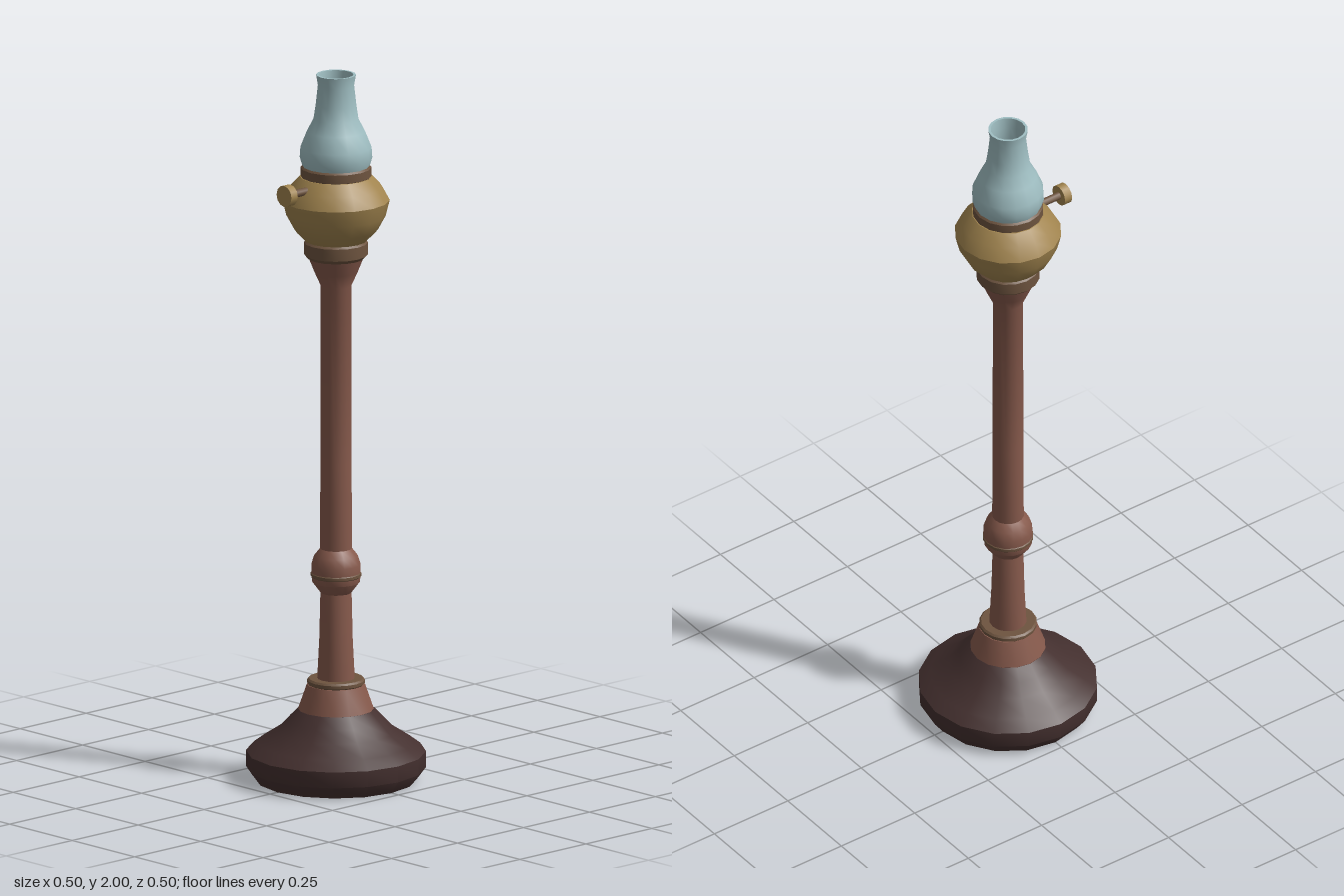
import * as THREE from 'three';
import { toCreasedNormals } from 'three/addons/utils/BufferGeometryUtils.js';

const SIDES = 16;

function material(name, color) {
  const m = new THREE.MeshStandardMaterial({ color });
  m.name = name;
  return m;
}

export function createModel() {
  const group = new THREE.Group();
  const darkWood = material('dark wood', 0x44302f);
  const redWood = material('red wood', 0x875a4c);
  const bronze = material('bronze', 0x6e543f);
  const brass = material('brass', 0xa2854f);
  const glass = material('pale blue glass', 0xa0bfc3);
  const amber = material('amber flame', 0xd98a30);

  // Turned part from [radius, height] pairs, running bottom to top on the outside
  function turned(name, mat, profile, sides = SIDES) {
    const points = profile.map(([r, y]) => new THREE.Vector2(r, y));
    const geometry = toCreasedNormals(new THREE.LatheGeometry(points, sides), 0.65);
    const mesh = new THREE.Mesh(geometry, mat);
    mesh.name = name;
    group.add(mesh);
    return mesh;
  }

  // Plain ring that caps itself top and bottom
  function collar(name, y0, y1, r, bevel) {
    turned(name, bronze, [[0, y0], [r - bevel, y0], [r, y0 + bevel],
      [r, y1 - bevel], [r - bevel, y1], [0, y1]]);
  }

  // Weighted foot
  turned('base', darkWood, [[0, 0], [0.222, 0], [0.248, 0.035], [0.248, 0.08],
    [0.215, 0.105], [0.165, 0.138], [0.135, 0.17], [0.105, 0.2], [0, 0.2]]);

  // Column with foot, knop and flared head
  turned('columnFoot', redWood, [[0, 0.198], [0.105, 0.198], [0.08, 0.27], [0, 0.27]]);
  turned('column', redWood, [[0.052, 0.28], [0.046, 0.4], [0.043, 0.53],
    [0.066, 0.56], [0.068, 0.585], [0.068, 0.61], [0.06, 0.635], [0.044, 0.655],
    [0.043, 0.9], [0.042, 1.4], [0.06, 1.44], [0.078, 1.485], [0, 1.485]]);
  collar('footCollar', 0.268, 0.287, 0.08, 0.005);
  collar('knopBand', 0.575, 0.587, 0.07, 0.002);
  collar('headCollar', 1.48, 1.534, 0.088, 0.01);

  // Oil reservoir
  turned('reservoir', brass, [[0, 1.53], [0.085, 1.53], [0.115, 1.56], [0.137, 1.6],
    [0.148, 1.645], [0.128, 1.682], [0.1, 1.712], [0, 1.718]]);

  // Burner and flame
  collar('burner', 1.705, 1.745, 0.098, 0.008);
  turned('flame', amber, [[0, 1.745], [0.014, 1.75], [0.023, 1.775],
    [0.016, 1.81], [0, 1.86]], 12);

  // Glass chimney, outer wall up and inner wall back down
  turned('chimney', glass, [[0.093, 1.742], [0.1, 1.765], [0.098, 1.795], [0.08, 1.84],
    [0.062, 1.875], [0.056, 1.915], [0.05, 1.97], [0.055, 2], [0.048, 2],
    [0.044, 1.97], [0.05, 1.91], [0.056, 1.87], [0.074, 1.837],
    [0.092, 1.793], [0.093, 1.765], [0.086, 1.742]]);

  // Wick adjuster on the front
  function along(name, mat, r, z0, z1) {
    const geometry = new THREE.CylinderGeometry(r, r, z1 - z0, 12).rotateX(Math.PI / 2);
    const mesh = new THREE.Mesh(geometry, mat);
    mesh.name = name;
    mesh.position.set(0, 1.688, (z0 + z1) / 2);
    group.add(mesh);
  }
  along('wickStem', bronze, 0.011, 0.08, 0.176);
  along('wickKnob', brass, 0.03, 0.173, 0.197);

  return group;
}
